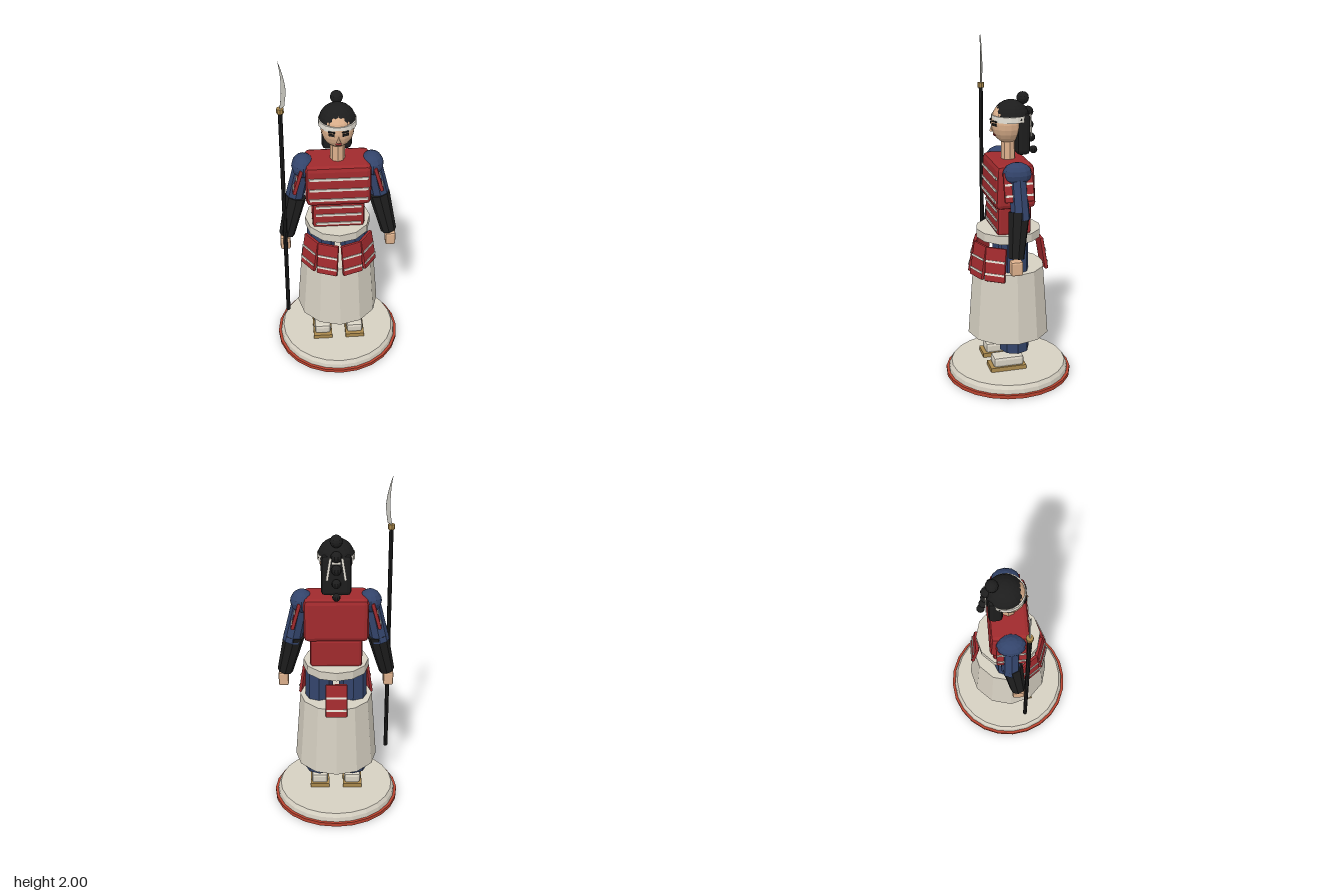
import * as THREE from 'three';
import { RoundedBoxGeometry } from 'three/addons/geometries/RoundedBoxGeometry.js';

const mat = (name, color) => {
  const m = new THREE.MeshStandardMaterial({ color });
  m.name = name;
  return m;
};

export function createModel() {
  const root = new THREE.Group();
  root.name = 'armouredSpearFigure';
  const red = mat('lacquerRed', 0xa02a2d), cream = mat('creamCloth', 0xd6d0c2), navy = mat('navyCloth', 0x33446b);
  const black = mat('black', 0x1d1d1d), skin = mat('skin', 0xdcb08c), tan = mat('brassTan', 0xab8a4e);
  const vermilion = mat('vermilionRim', 0xb9432f), white = mat('whiteCord', 0xe6e1d6);
  const steel = mat('steel', 0xc6c5bd), lip = mat('lipRed', 0x9a3034);

  // Faceted mesh helper
  const add = (parent, name, geo, material, x = 0, y = 0, z = 0) => {
    const g = geo.index ? geo.toNonIndexed() : geo;
    g.computeVertexNormals();
    const m = new THREE.Mesh(g, material);
    m.name = name;
    m.position.set(x, y, z);
    parent.add(m);
    return m;
  };
  const box = (w, h, d, r = 0) => r ? new RoundedBoxGeometry(w, h, d, 1, r) : new THREE.BoxGeometry(w, h, d);
  const cyl = (rt, rb, h, n) => new THREE.CylinderGeometry(rt, rb, h, n);
  const ball = (r, w = 12, h = 8) => new THREE.SphereGeometry(r, w, h);

  // Tapered limb between two points
  const limb = (name, a, b, ra, rb, material) => {
    const p = new THREE.Vector3(...a), q = new THREE.Vector3(...b);
    const dir = p.clone().sub(q);
    const m = add(root, name, cyl(ra, rb, dir.length(), 8), material);
    m.position.copy(p).add(q).multiplyScalar(0.5);
    m.quaternion.setFromUnitVectors(new THREE.Vector3(0, 1, 0), dir.normalize());
    return m;
  };

  // Red armour plate with two white cords on its outer (+z) face
  const plate = (name, w, h, t) => {
    const g = new THREE.Group();
    g.name = name;
    add(g, 'plate', box(w, h, t, 0.007), red);
    for (const y of [0.1, -0.28]) add(g, 'plateCord', box(w * 0.94, 0.012, 0.006), white, 0, y * h, t / 2 + 0.002);
    root.add(g);
    return g;
  };

  // Round display base
  add(root, 'baseRim', cyl(0.378, 0.378, 0.022, 24), vermilion, 0, 0.011, 0);
  const baseProfile = [[0, 0.02], [0.362, 0.02], [0.358, 0.048], [0.344, 0.07], [0, 0.07]];
  add(root, 'baseTop', new THREE.LatheGeometry(baseProfile.map(p => new THREE.Vector2(...p)), 24), cream);

  // Feet and trousers
  for (const s of [-1, 1]) {
    add(root, 'sandal', box(0.115, 0.026, 0.215), tan, s * 0.1, 0.083, 0.036);
    add(root, 'sock', box(0.1, 0.066, 0.185, 0.018), cream, s * 0.1, 0.122, 0.032);
    add(root, 'trouserLeg', cyl(0.08, 0.088, 0.7, 8), navy, s * 0.1, 0.54, -0.012);
  }

  // Skirt, belt and hip plates
  add(root, 'skirt', cyl(0.213, 0.245, 0.42, 12), cream, 0, 0.49, 0);
  add(root, 'belt', cyl(0.19, 0.19, 0.05, 12), cream, 0, 0.905, 0);
  for (const deg of [-55, -20, 20, 55, 180]) {
    const a = THREE.MathUtils.degToRad(deg);
    const p = plate('hipPlate', 0.125, 0.2, 0.022);
    p.position.set(Math.sin(a) * 0.205, 0.76, Math.cos(a) * 0.205);
    p.rotation.set(-0.17, a, 0, 'YXZ');
  }

  // Cuirass, leaning in slightly towards the shoulders
  add(root, 'waistArmour', box(0.3, 0.18, 0.2, 0.02), red, 0, 1.01, 0);
  const chest = box(0.37, 0.255, 0.236, 0.028);
  const pos = chest.attributes.position;
  for (let i = 0; i < pos.count; i++) {
    const k = pos.getY(i) > 0 ? 0.92 : 1;
    pos.setZ(i, pos.getZ(i) * k);
  }
  add(root, 'chestArmour', chest, red, 0, 1.215, 0);
  for (const [y, z] of [[1.27, 0.111], [1.2, 0.114], [1.135, 0.118]])
    add(root, 'chestCord', box(0.335, 0.015, 0.008), white, 0, y, z);
  for (const y of [1.07, 1.015, 0.955]) add(root, 'waistCord', box(0.26, 0.014, 0.008), white, 0, y, 0.101);

  // Arms, shoulder guards and hands
  for (const s of [-1, 1]) {
    const shoulder = add(root, 'shoulder', ball(0.066), navy, s * 0.195, 1.3, 0);
    shoulder.scale.set(1, 1, 1.28);
    limb('upperArm', [s * 0.2, 1.3, 0], [s * 0.255, 1.05, -0.005], 0.05, 0.055, navy);
    limb('forearm', [s * 0.24, 1.09, 0], [s * 0.3, 0.84, 0.032], 0.062, 0.046, black);
    add(root, 'hand', box(0.06, 0.085, 0.07, 0.012), skin, s * 0.31, 0.79, 0.035);
    const p = plate('shoulderGuard', 0.17, 0.165, 0.022);
    p.position.set(s * 0.228, 1.232, 0);
    p.rotation.set(-0.27, s * Math.PI / 2, 0, 'YXZ');
  }

  // Neck and head
  add(root, 'neck', cyl(0.04, 0.042, 0.15, 8), skin, 0, 1.395, 0);
  const head = add(root, 'head', ball(0.094, 16, 12), skin, 0, 1.55, 0.004);
  head.scale.y = 1.25;
  for (const s of [-1, 1]) {
    add(root, 'eye', box(0.034, 0.014, 0.009), black, s * 0.038, 1.548, 0.088).rotation.y = s * 0.4;
    add(root, 'eyebrow', box(0.038, 0.007, 0.009), black, s * 0.038, 1.566, 0.089).rotation.y = s * 0.4;
  }
  add(root, 'nose', new THREE.ConeGeometry(0.012, 0.036, 4), skin, 0, 1.522, 0.097);
  add(root, 'mouth', box(0.034, 0.013, 0.009), lip, 0, 1.484, 0.08);

  // Hair, headband and ribbons
  const cap = new THREE.SphereGeometry(0.104, 18, 7, 0, Math.PI * 2, 0, Math.PI / 2);
  add(root, 'hairCap', cap, black, 0, 1.575, -0.017);
  add(root, 'hairCapUnderside', new THREE.CircleGeometry(0.103, 18).rotateX(Math.PI / 2), black, 0, 1.576, -0.017);
  add(root, 'headband', cyl(0.106, 0.106, 0.034, 18), white, 0, 1.579, -0.011);
  add(root, 'backHair', box(0.17, 0.24, 0.08, 0.025), black, 0, 1.49, -0.073);
  add(root, 'topKnot', ball(0.036), black, 0, 1.685, -0.085);
  for (const [y, z, r] of [[1.605, -0.115, 0.032], [1.53, -0.12, 0.029], [1.455, -0.134, 0.026], [1.382, -0.15, 0.023]])
    add(root, 'ponytailBead', ball(r, 10, 8), black, 0, y, z);
  for (const s of [-1, 1]) {
    const ribbon = add(root, 'ribbon', box(0.014, 0.13, 0.006), white, s * 0.042, 1.535, -0.122);
    ribbon.rotation.z = s * 0.15;
  }

  // Polearm: shaft, collar and curved blade
  add(root, 'shaft', cyl(0.012, 0.012, 1.42, 8), black, -0.31, 0.99, 0.083);
  add(root, 'bladeCollar', cyl(0.02, 0.02, 0.028, 8), tan, -0.31, 1.71, 0.083);
  const edge = new THREE.Shape();
  edge.moveTo(-0.313, 1.72);
  edge.quadraticCurveTo(-0.288, 1.86, -0.313, 2.0);
  edge.quadraticCurveTo(-0.278, 1.9, -0.276, 1.82);
  edge.lineTo(-0.287, 1.735);
  edge.closePath();
  const blade = new THREE.ExtrudeGeometry(edge, { depth: 0.007, bevelEnabled: false, curveSegments: 6 });
  add(root, 'blade', blade, steel, 0, 0, 0.08);

  return root;
}
